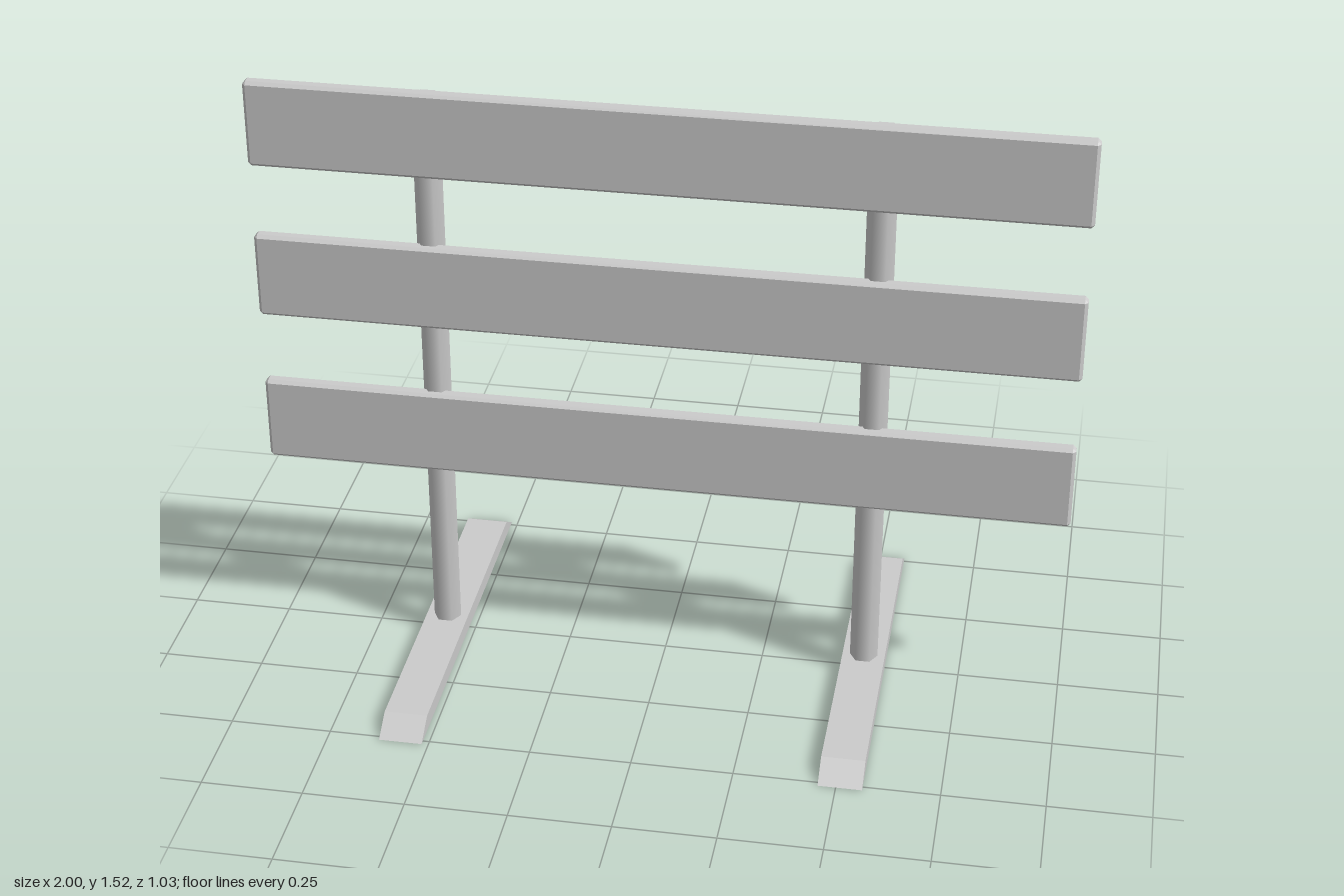
import * as THREE from 'three';
import { ConvexGeometry } from 'three/addons/geometries/ConvexGeometry.js';

// Box with every edge cut by a single flat chamfer
function chamferedBox(w, h, d, c) {
  const points = [];
  const [x, y, z] = [w / 2, h / 2, d / 2];
  for (const sx of [-1, 1]) for (const sy of [-1, 1]) for (const sz of [-1, 1]) {
    points.push(
      new THREE.Vector3(sx * x, sy * (y - c), sz * (z - c)),
      new THREE.Vector3(sx * (x - c), sy * y, sz * (z - c)),
      new THREE.Vector3(sx * (x - c), sy * (y - c), sz * z),
    );
  }
  return new ConvexGeometry(points);
}

// Flat foot bar running along z, with sloped ends
function footGeometry(width, height, bottomHalf, topHalf) {
  const profile = new THREE.Shape([
    new THREE.Vector2(-bottomHalf, 0),
    new THREE.Vector2(bottomHalf, 0),
    new THREE.Vector2(topHalf, height),
    new THREE.Vector2(-topHalf, height),
  ]);
  return new THREE.ExtrudeGeometry(profile, { depth: width, bevelEnabled: false })
    .translate(0, 0, -width / 2)
    .rotateY(Math.PI / 2);
}

export function createModel() {
  const model = new THREE.Group();
  model.name = 'barrier';
  const smooth = new THREE.MeshStandardMaterial({ color: 0xcccccc });
  const flat = new THREE.MeshStandardMaterial({ color: 0xcccccc, flatShading: true });

  const add = (name, geometry, material, x, y, z) => {
    const mesh = new THREE.Mesh(geometry, material);
    mesh.name = name;
    mesh.position.set(x, y, z);
    model.add(mesh);
  };

  // Three horizontal boards
  const board = chamferedBox(2, 0.218, 0.035, 0.008);
  ['lowerBoard', 'middleBoard', 'upperBoard'].forEach((name, i) =>
    add(name, board, flat, 0, 0.609 + i * 0.4015, 0.037));

  // Six-sided posts standing on the feet
  const post = new THREE.CylinderGeometry(0.035, 0.035, 1.465, 6).rotateY(Math.PI / 2);
  const foot = footGeometry(0.107, 0.04, 0.513, 0.45);
  for (const [side, x] of [['right', -0.57], ['left', 0.51]]) {
    add(side + 'Post', post, smooth, x, 0.7675, 0.008);
    add(side + 'Foot', foot, flat, x, 0, 0);
  }
  return model;
}
